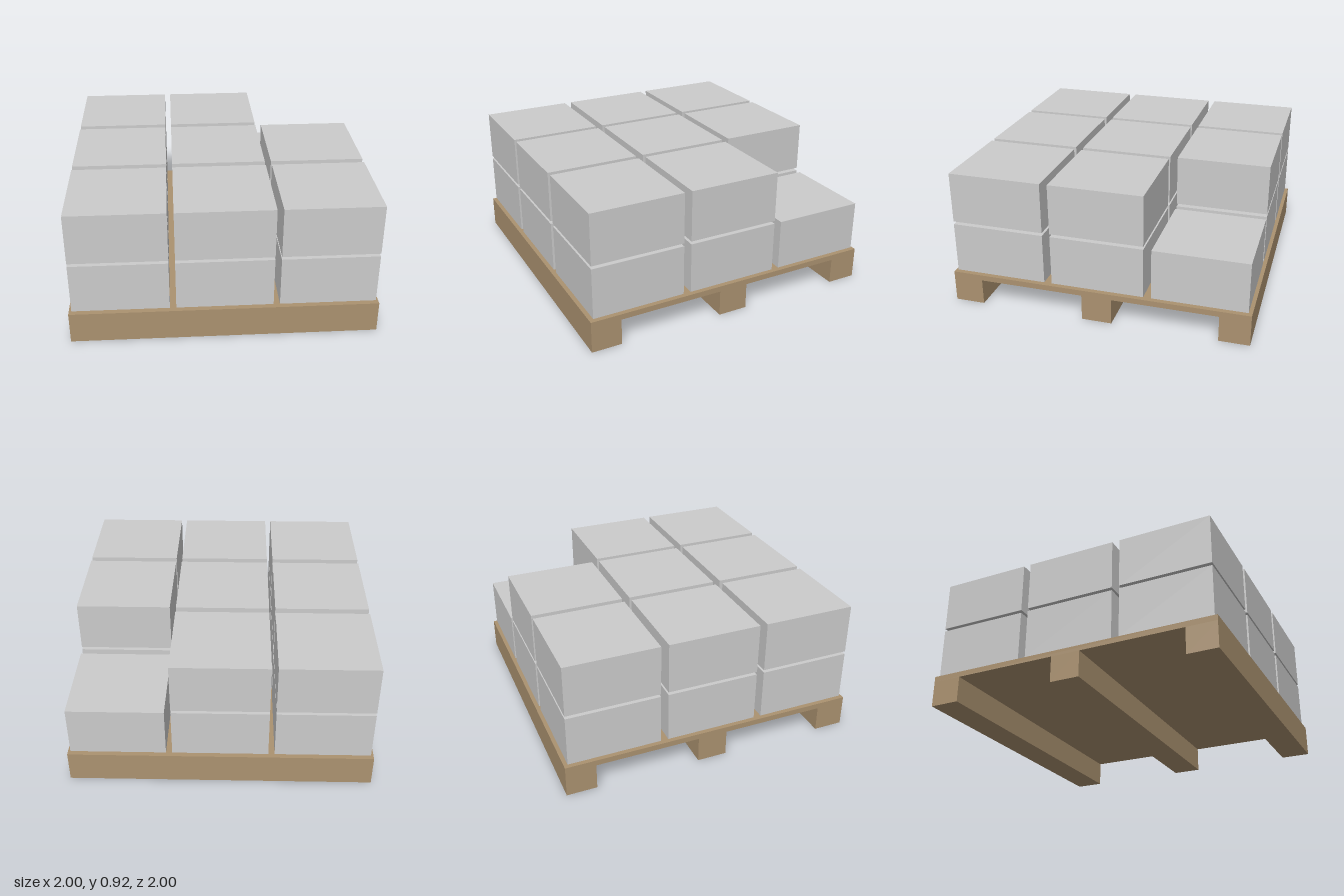
import * as THREE from 'three';

const wood = new THREE.MeshStandardMaterial({ color: 0xab9270 });
const grey = new THREE.MeshStandardMaterial({ color: 0xcccccc });

// Box whose position is the centre of its base
function addBox(parent, name, material, [w, h, d], [x, y, z]) {
  const mesh = new THREE.Mesh(new THREE.BoxGeometry(w, h, d), material);
  mesh.name = name;
  mesh.position.set(x, y + h / 2, z);
  parent.add(mesh);
}

export function createModel() {
  const model = new THREE.Group();
  model.name = 'loadedPallet';

  // Pallet: three runners along x under a thin deck
  const pallet = new THREE.Group();
  pallet.name = 'pallet';
  const runnerHeight = 0.175;
  for (const z of [-0.9, 0, 0.9]) {
    addBox(pallet, 'runner', wood, [2, runnerHeight, 0.2], [0, 0, z]);
  }
  addBox(pallet, 'deck', wood, [2, 0.0375, 2], [0, runnerHeight, 0]);
  model.add(pallet);

  // Cargo: two layers of 3 x 3 boxes, the upper back left one missing
  const cargo = new THREE.Group();
  cargo.name = 'cargo';
  const pitch = 0.668;
  for (let layer = 0; layer < 2; layer++) {
    for (let i = -1; i <= 1; i++) {
      for (let k = -1; k <= 1; k++) {
        if (layer === 1 && i === 1 && k === -1) continue;
        addBox(cargo, 'cargoBox', grey, [0.627, 0.338, 0.617],
          [i * pitch, 0.222 + layer * 0.358, k * pitch]);
      }
    }
  }
  model.add(cargo);
  return model;
}
